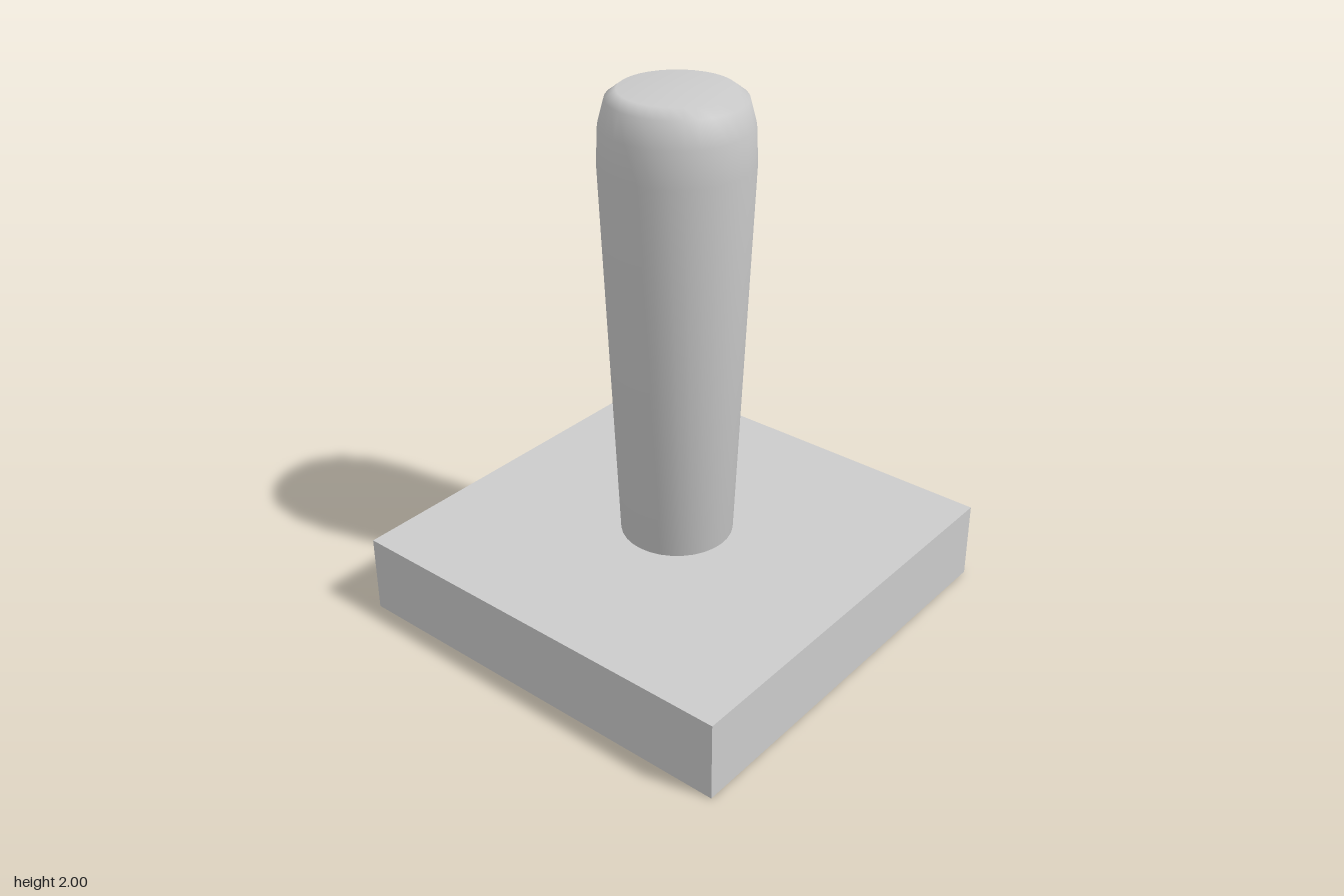
import * as THREE from 'three';

export function createModel() {
  const group = new THREE.Group();
  const material = new THREE.MeshStandardMaterial({ color: 0xcccccc });

  // Square base slab
  const base = new THREE.Mesh(new THREE.BoxGeometry(1.6, 0.3, 1.6), material);
  base.name = 'base';
  base.position.y = 0.15;
  group.add(base);

  // Handle: tapered, widening upward, with a rounded top edge
  const profile = [
    [0, 0.3], [0.21, 0.3], [0.27, 1.75], [0.264, 1.88],
    [0.24, 1.97], [0.2, 2], [0, 2],
  ].map(([r, y]) => new THREE.Vector2(r, y));
  const handle = new THREE.Mesh(new THREE.LatheGeometry(profile, 32), material);
  handle.name = 'handle';
  group.add(handle);

  return group;
}
